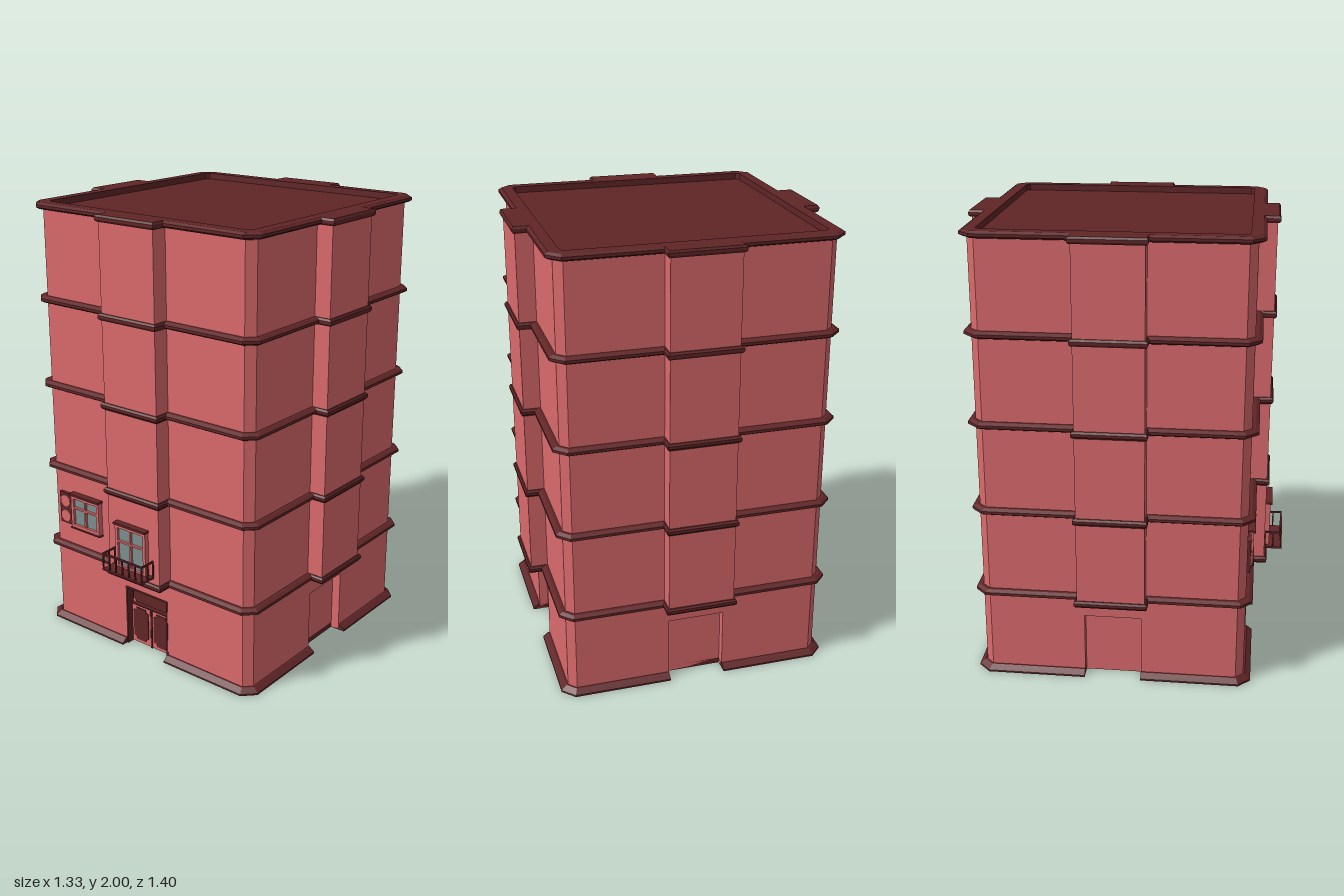
import * as THREE from 'three';

const paint = (color) => new THREE.MeshStandardMaterial({ color, flatShading: true });
const WALL = paint(0xdb6a6c), TRIM = paint(0x602527), GLASS = paint(0x7c8e8e);
const CZ = -0.035;      // depth centre of the tower
const HALF = 0.58;      // half width of the plain walls
const DOOR = 0.125;     // half width of the door niches
const DOOR_TOP = 0.295;

// Plan outline with cut corners; each side may carry a bay or a door niche.
function outline(offset, feature) {
  const h = HALF + offset, cut = 0.034 + 0.586 * offset;
  let side = [[-h + cut, h], [h - cut, h]];
  if (feature) {
    const w = feature === 'bay' ? 0.147 + 0.4 * offset : DOOR;
    const d = feature === 'bay' ? 0.655 + 0.4 * offset : 0.54;
    side = [side[0], [-w, h], [-w, d], [w, d], [w, h], side[1]];
  }
  const pts = [];
  for (let k = 0; k < 4; k++) {
    pts.push(...side);
    side = side.map(([x, z]) => [z, -x]);
  }
  return pts;
}

export function createModel() {
  const group = new THREE.Group();

  const add = (name, geo, mat, x = 0, y = 0, z = 0) => {
    const mesh = new THREE.Mesh(geo, mat);
    mesh.name = name;
    mesh.position.set(x, y, z);
    group.add(mesh);
    return mesh;
  };
  // Box given by its limits
  const box = (name, mat, x0, x1, y0, y1, z0, z1) =>
    add(name, new THREE.BoxGeometry(x1 - x0, y1 - y0, z1 - z0), mat, (x0 + x1) / 2, (y0 + y1) / 2, (z0 + z1) / 2);

  const cap = (name, pts, y, up, mat, hole) => {
    const s = up ? -1 : 1;
    const vecs = (p) => p.map(([x, z]) => new THREE.Vector2(x, s * z));
    const shape = new THREE.Shape(vecs(pts));
    if (hole) shape.holes.push(new THREE.Path(vecs(hole)));
    add(name, new THREE.ShapeGeometry(shape).rotateX(s * Math.PI / 2), mat, 0, y, CZ);
  };

  // Skin between plan outlines stacked as [height, points]
  const loft = (name, levels, mat) => {
    const pos = [];
    for (let l = 0; l + 1 < levels.length; l++) {
      const [y0, a] = levels[l], [y1, b] = levels[l + 1];
      a.forEach((p, i) => {
        const j = (i + 1) % a.length;
        const A = [p[0], y0, p[1]], B = [a[j][0], y0, a[j][1]];
        const C = [b[j][0], y1, b[j][1]], D = [b[i][0], y1, b[i][1]];
        pos.push(...A, ...B, ...C, ...A, ...C, ...D);
      });
    }
    const geo = new THREE.BufferGeometry();
    geo.setAttribute('position', new THREE.Float32BufferAttribute(pos, 3));
    geo.computeVertexNormals();
    add(name, geo, mat, 0, 0, CZ);
  };

  // Ground floor with a niche on every side, and the upper floors with bays
  loft('groundFloorWalls', [[0, outline(0, 'niche')], [DOOR_TOP, outline(0, 'niche')]], WALL);
  cap('nicheCeiling', outline(0), DOOR_TOP, false, WALL);
  loft('wallAboveDoors', [[DOOR_TOP, outline(0)], [0.4, outline(0)]], WALL);
  loft('upperWalls', [[0.39, outline(0, 'bay')], [1.985, outline(0, 'bay')]], WALL);
  cap('bayUnderside', outline(0, 'bay'), 0.39, false, WALL);

  // Flared plinth
  loft('plinth', [[0, outline(0.032, 'niche')], [0.008, outline(0.032, 'niche')], [0.026, outline(0.008, 'niche')],
    [0.026, outline(0, 'niche')]], TRIM);
  cap('baseUnderside', outline(0.032, 'niche'), 0, false, TRIM);

  // Bevelled bands between floors
  for (const y of [0.395, 0.787, 1.18, 1.573]) {
    const profile = [[-0.015, 0], [-0.015, 0.014], [-0.006, 0.03], [0.006, 0.03], [0.015, 0.014], [0.015, 0]];
    loft('floorBand', profile.map(([dy, o]) => [y + dy, outline(o, 'bay')]), TRIM);
  }

  // Cornice, rim and sunken roof
  const profile = [[1.97, 0], [1.97, 0.014], [1.979, 0.03], [1.991, 0.03], [2, 0.016]];
  loft('cornice', profile.map(([y, o]) => [y, outline(o, 'bay')]), TRIM);
  const inner = outline(-0.032);
  cap('roofRim', outline(0.016, 'bay'), 2, true, TRIM, inner);
  loft('parapetInside', [[2, inner], [1.972, inner]], TRIM);
  cap('roof', inner, 1.972, true, TRIM);

  // Panel whose corners are stepped in
  const panel = (name, mat, x0, x1, y0, y1, z, n) => {
    const s = new THREE.Shape([
      [x0 + n, y0], [x1 - n, y0], [x1 - n, y0 + n / 2], [x1 - n / 2, y0 + n], [x1, y0 + n],
      [x1, y1 - n], [x1 - n / 2, y1 - n], [x1 - n, y1 - n / 2], [x1 - n, y1],
      [x0 + n, y1], [x0 + n, y1 - n / 2], [x0 + n / 2, y1 - n], [x0, y1 - n],
      [x0, y0 + n], [x0 + n / 2, y0 + n], [x0 + n, y0 + n / 2],
    ].map(([x, y]) => new THREE.Vector2(x, y)));
    add(name, new THREE.ExtrudeGeometry(s, { depth: 0.006, bevelEnabled: false }), mat, 0, 0, z);
  };

  // Front double door with transom
  const dz = CZ + 0.54;
  for (const s of [-1, 1]) {
    const e = s * DOOR, i = s * (DOOR - 0.008);
    box('doorJamb', TRIM, Math.min(e, i), Math.max(e, i), 0, DOOR_TOP, dz, CZ + HALF + 0.002);
    const c = s * 0.061;
    box('doorLeaf', WALL, c - 0.054, c + 0.054, 0.004, 0.196, dz, dz + 0.01);
    panel('doorLeafPanel', TRIM, c - 0.044, c + 0.044, 0.02, 0.185, dz + 0.008, 0.016);
  }
  box('doorHead', TRIM, -DOOR, DOOR, DOOR_TOP - 0.008, DOOR_TOP, dz, CZ + HALF + 0.002);
  box('doorGap', TRIM, -0.004, 0.004, 0, 0.2, dz, dz + 0.012);
  box('transomBar', TRIM, -DOOR, DOOR, 0.196, 0.202, dz, dz + 0.015);
  panel('transomPanel', TRIM, -0.108, 0.108, 0.212, 0.277, dz + 0.004, 0.014);

  // Four-pane window: pierced frame, glass and a lintel
  const windowUnit = (x0, x1, y0, y1, z, depth) => {
    const rect = (T, a, b, c, d) => new T([[a, c], [b, c], [b, d], [a, d]].map(([x, y]) => new THREE.Vector2(x, y)));
    const frame = rect(THREE.Shape, x0, x1, y0, y1);
    const xm = (x0 + x1) / 2, ym = y0 + (y1 - y0) * 0.62, f = 0.015, m = 0.004;
    for (const [a, b] of [[x0 + f, xm - m], [xm + m, x1 - f]])
      for (const [c, d] of [[y0 + f, ym - m], [ym + m, y1 - f]])
        frame.holes.push(rect(THREE.Path, a, b, c, d));
    add('windowFrame', new THREE.ExtrudeGeometry(frame, { depth, bevelEnabled: false }), WALL, 0, 0, z);
    box('windowGlass', GLASS, x0 + 0.008, x1 - 0.008, y0 + 0.008, y1 - 0.008, z, z + depth * 0.5);
    box('windowLintel', TRIM, x0 - 0.004, x1 + 0.004, y1, y1 + 0.01, z, z + depth + 0.008);
  };

  // Side window with sill and one open shutter
  const wz = CZ + HALF;
  windowUnit(-0.435, -0.26, 0.51, 0.668, wz, 0.024);
  box('windowSill', TRIM, -0.439, -0.256, 0.504, 0.511, wz, wz + 0.028);
  box('shutter', TRIM, -0.515, -0.439, 0.513, 0.665, wz, wz + 0.014);
  for (const y of [0.552, 0.626])
    add('shutterPanel', new THREE.CylinderGeometry(0.03, 0.03, 0.006, 8).rotateX(Math.PI / 2).rotateZ(Math.PI / 8),
      WALL, -0.477, y, wz + 0.015);

  // Bay window with balcony
  const bz = CZ + 0.655, front = 0.7, bx = 0.116, t = 0.006;
  windowUnit(-0.09, 0.087, 0.44, 0.65, bz, 0.022);
  box('balconyFloor', TRIM, -bx, bx, 0.438, 0.447, bz, front);
  box('balconyFrontRail', TRIM, -bx, bx, 0.515, 0.523, front - 0.008, front);
  for (let i = 0; i <= 6; i++) {
    const x = -bx + (2 * bx - t) * i / 6;
    box('balconyBaluster', TRIM, x, x + t, 0.445, 0.516, front - 0.007, front - 0.001);
  }
  for (const x of [-bx, bx - t]) {
    box('balconySideRail', TRIM, x, x + t, 0.515, 0.523, bz, front);
    for (const z of [bz, bz + 0.036]) box('balconySideBaluster', TRIM, x, x + t, 0.445, 0.516, z, z + t);
  }
  return group;
}
